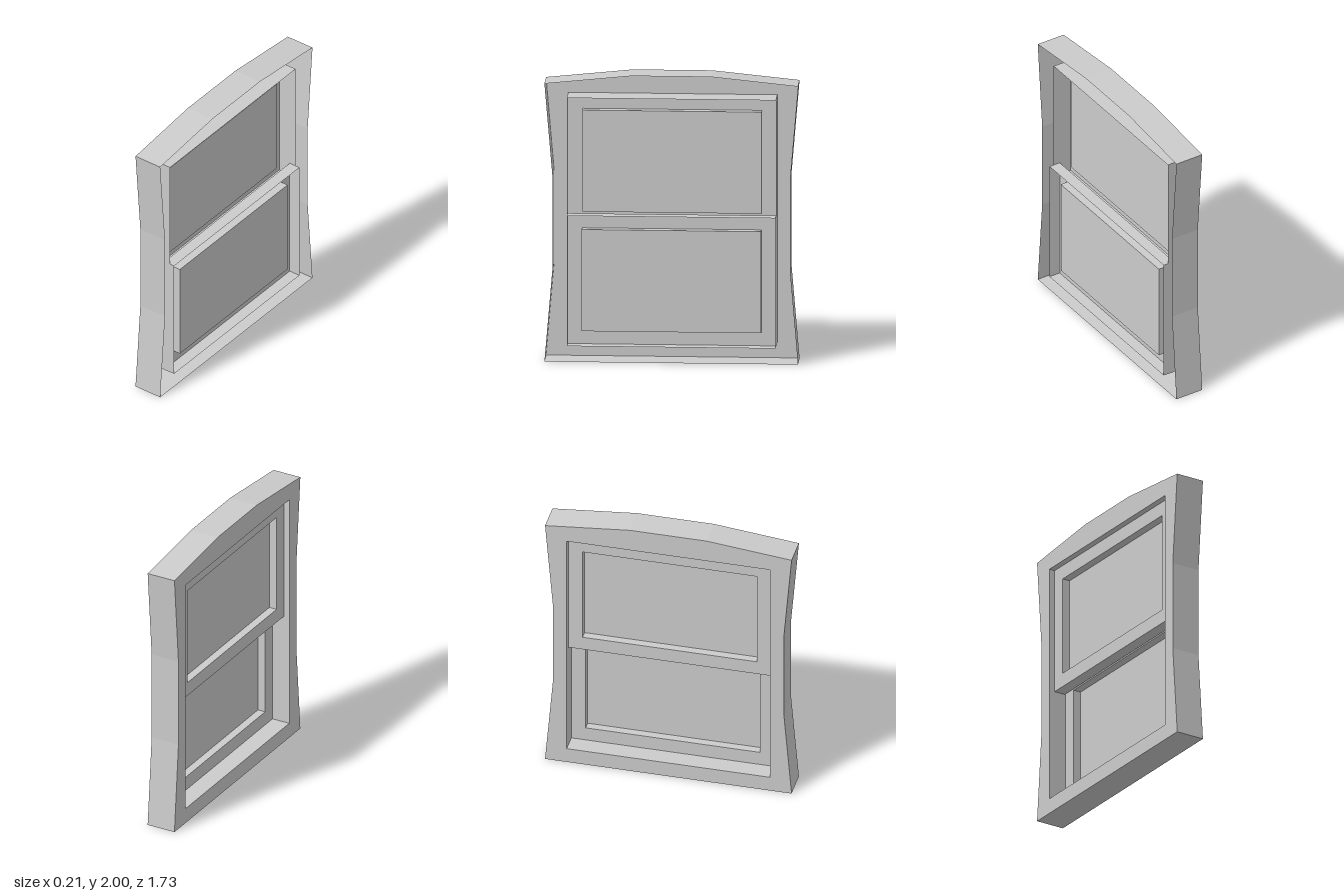
import * as THREE from 'three';
import { mergeGeometries } from 'three/addons/utils/BufferGeometryUtils.js';

const material = new THREE.MeshStandardMaterial({
  color: 0xcccccc, flatShading: true, side: THREE.DoubleSide,
});

// Counter-clockwise rectangle of [z, y] corners
const rect = (halfWidth, bottom, top) => [
  [-halfWidth, bottom], [halfWidth, bottom], [halfWidth, top], [-halfWidth, top],
];

// Band of walls following a closed outline from x0 to x1
function walls(outline, x0, x1, inward = false) {
  const positions = [];
  outline.forEach(([az, ay], i) => {
    const [bz, by] = outline[(i + 1) % outline.length];
    const a0 = [x0, ay, az], b0 = [x0, by, bz], a1 = [x1, ay, az], b1 = [x1, by, bz];
    const corners = inward ? [a0, b0, b1, a0, b1, a1] : [a0, b1, b0, a0, a1, b1];
    positions.push(...corners.flat());
  });
  const geometry = new THREE.BufferGeometry();
  geometry.setAttribute('position', new THREE.Float32BufferAttribute(positions, 3));
  geometry.computeVertexNormals();
  return geometry;
}

// Flat face towards -x at depth x, with an optional hole
function face(outline, x, hole) {
  const toPoints = (list) => list.map(([z, y]) => new THREE.Vector2(z, y));
  const shape = new THREE.Shape(toPoints(outline));
  if (hole) shape.holes.push(new THREE.Path(toPoints(hole)));
  const geometry = new THREE.ShapeGeometry(shape).toNonIndexed();
  geometry.rotateY(-Math.PI / 2).translate(x, 0, 0);
  geometry.deleteAttribute('uv');
  return geometry;
}

function part(name, geometries) {
  const mesh = new THREE.Mesh(mergeGeometries(geometries), material);
  mesh.name = name;
  return mesh;
}

// Sliding sash: hollow frame open at the +x side, with a set-back pane
function sash(name, bottom, top, x) {
  const group = new THREE.Group();
  group.name = name;
  const outer = rect(0.712, bottom, top);
  const inner = rect(0.612, bottom + 0.1, top - 0.1);
  const paneX = x + 0.057;
  group.add(
    part(name + 'Frame', [
      face(outer, x, inner),
      walls(outer, x, x + 0.083),
      walls(inner, x, paneX, true),
    ]),
    part(name + 'Pane', [face(inner, paneX)]),
  );
  return group;
}

export function createModel() {
  const model = new THREE.Group();
  model.name = 'window';

  // Outer casing: pinched sides and a shallow arched top, open at the +x side
  const half = [[0.865, 0], [0.81, 0.65], [0.81, 1.29], [0.865, 1.94], [0.27, 2]];
  const outline = [...half, ...half.map(([z, y]) => [-z, y]).reverse()];
  const opening = rect(0.713, 0.11, 1.835);
  model.add(part('casing', [
    face(outline, -0.107, opening),
    walls(outline, -0.107, 0.103),
    walls(opening, -0.107, 0.073, true),
  ]));

  // Two overlapping sashes on separate tracks
  model.add(sash('upperSash', 0.925, 1.834, -0.065));
  model.add(sash('lowerSash', 0.111, 1.02, 0.024));
  return model;
}
